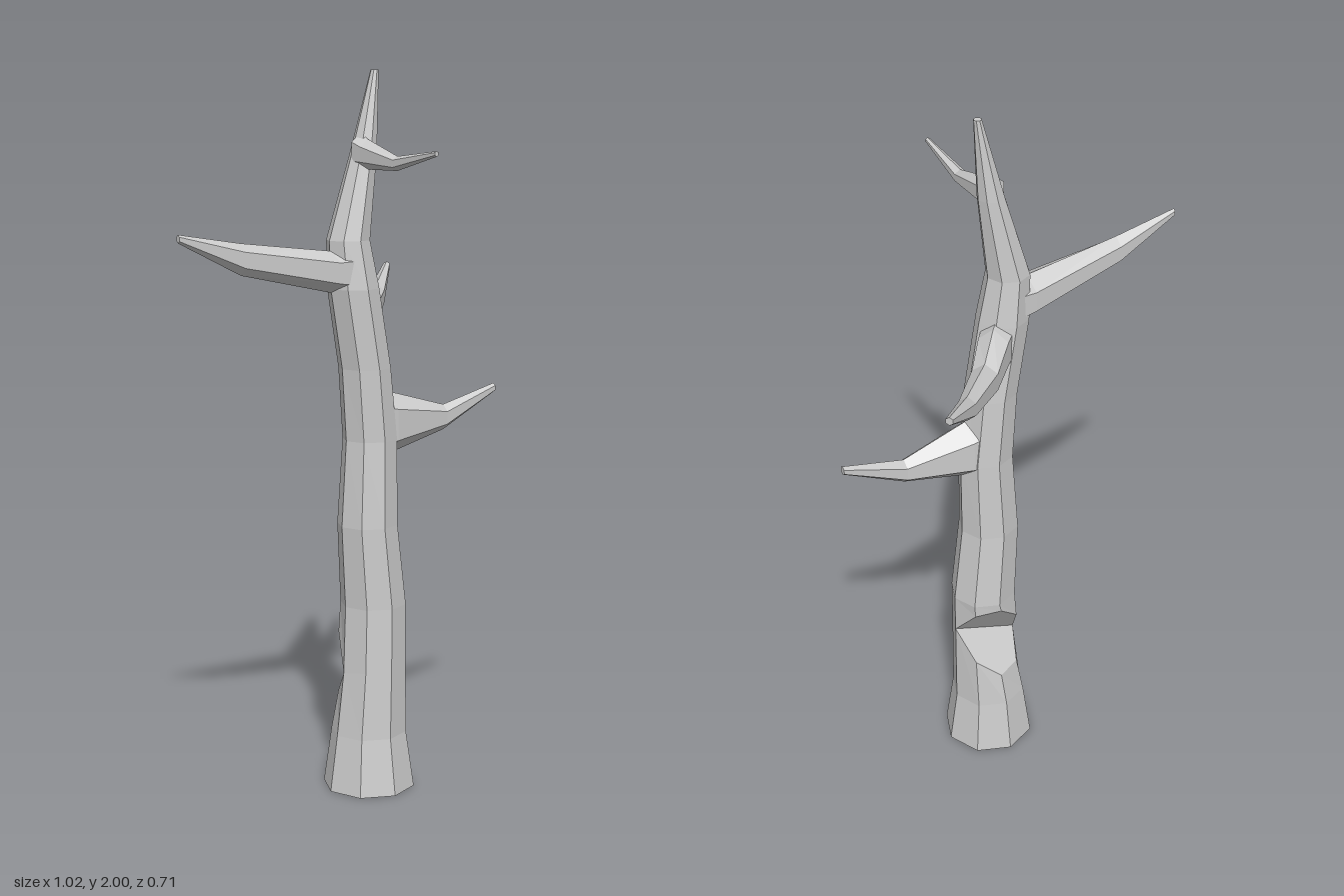
import * as THREE from 'three';

const material = new THREE.MeshStandardMaterial({ color: 0xcccccc, flatShading: true });

// Fan of triangles over a polygon
function fan(out, pts) {
  for (let i = 1; i < pts.length - 1; i++) out.push(pts[0], pts[i], pts[i + 1]);
}

// Faceted skin through a list of rings, with optional end polygons
function loft(name, rings, startCap, endCap) {
  const tris = [];
  for (let k = 0; k < rings.length - 1; k++) {
    const a = rings[k], b = rings[k + 1], n = a.length;
    for (let i = 0; i < n; i++) {
      const j = (i + 1) % n;
      tris.push(a[i], b[i], b[j], a[i], b[j], a[j]);
    }
  }
  if (startCap) fan(tris, startCap);
  if (endCap) fan(tris, [...endCap].reverse());
  const geometry = new THREE.BufferGeometry().setFromPoints(tris);
  geometry.computeVertexNormals();
  const mesh = new THREE.Mesh(geometry, material);
  mesh.name = name;
  return mesh;
}

// Horizontal eight-sided trunk ring; height may depend on x and z
function trunkRing(x, height, z, rx, rz = rx) {
  return Array.from({ length: 8 }, (_, i) => {
    const a = i * Math.PI / 4;
    const px = x + rx * Math.cos(a), pz = z + rz * Math.sin(a);
    return new THREE.Vector3(px, typeof height === 'function' ? height(px, pz) : height, pz);
  });
}

// Six-sided branch; each station is [distance out, y, half height, half width]
function branch(name, x, z, dx, dz, stations) {
  const out = new THREE.Vector3(dx, 0, dz).normalize();
  const up = new THREE.Vector3(0, 1, 0);
  const side = up.clone().cross(out);
  const rings = stations.map(([d, y, h, w]) => Array.from({ length: 6 }, (_, i) => {
    const a = i * Math.PI / 3;
    return new THREE.Vector3(x, y, z)
      .addScaledVector(out, d)
      .addScaledVector(up, h * Math.cos(a))
      .addScaledVector(side, w * Math.sin(a));
  }));
  return loft(name, rings, rings[0], rings[rings.length - 1]);
}

export function createModel() {
  const tree = new THREE.Group();
  tree.name = 'deadTree';

  // Axe notch at the back: two planes meeting along a slanted line
  const notchZ = 0.018;
  const notchLine = (x) => 0.345 + 0.37 * x;
  const lowerCut = trunkRing(0.085, (x, z) => notchLine(x) + 1.2 * Math.min(0, z - notchZ), notchZ, 0.096);
  const upperCut = trunkRing(0.085, (x, z) => notchLine(x) + 1.35 * Math.max(0, notchZ - z), notchZ, 0.096);
  const backHalf = (ring) => [4, 5, 6, 7, 0].map((i) => ring[i]);

  // Stump below the notch
  const base = trunkRing(0.077, 0, 0.015, 0.13);
  tree.add(loft('lowerTrunk', [
    base,
    trunkRing(0.077, 0.16, 0.014, 0.107),
    lowerCut,
  ], base, backHalf(lowerCut)));

  // Crooked trunk from the notch to the pointed top
  const top = trunkRing(0.09, 2, 0.015, 0.011);
  tree.add(loft('upperTrunk', [
    upperCut,
    trunkRing(0.09, 0.53, 0.015, 0.093),
    trunkRing(0.07, 0.76, 0.015, 0.085),
    trunkRing(0.078, 1.0, 0.014, 0.078, 0.074),
    trunkRing(0.06, 1.2, 0.014, 0.073),
    trunkRing(0.022, 1.42, 0.014, 0.072),
    trunkRing(0.008, 1.55, 0.01, 0.06),
    trunkRing(0.055, 1.78, 0.013, 0.037),
    top,
  ], backHalf(upperCut), top));

  // Branches
  tree.add(branch('rightBranch', 0, 0.012, -1, 0, [
    [0, 1.465, 0.065, 0.064],
    [0.05, 1.467, 0.056, 0.06],
    [0.33, 1.515, 0.042, 0.03],
    [0.515, 1.577, 0.011, 0.008],
  ]));
  tree.add(branch('leftBranch', 0.07, 0.014, 1, 0, [
    [0, 1.045, 0.1, 0.06],
    [0.07, 1.038, 0.088, 0.057],
    [0.26, 1.035, 0.036, 0.025],
    [0.44, 1.103, 0.013, 0.011],
  ]));
  tree.add(branch('backBranch', 0.05, -0.01, 1, -1, [
    [0, 1.365, 0.075, 0.05],
    [0.05, 1.36, 0.07, 0.047],
    [0.14, 1.33, 0.05, 0.04],
    [0.315, 1.358, 0.036, 0.026],
    [0.482, 1.43, 0.012, 0.011],
  ]));
  tree.add(branch('frontBranch', 0.045, 0.015, 0, 1, [
    [0, 1.785, 0.05, 0.034],
    [0.035, 1.778, 0.04, 0.03],
    [0.17, 1.759, 0.019, 0.019],
    [0.34, 1.79, 0.007, 0.007],
  ]));

  return tree;
}
